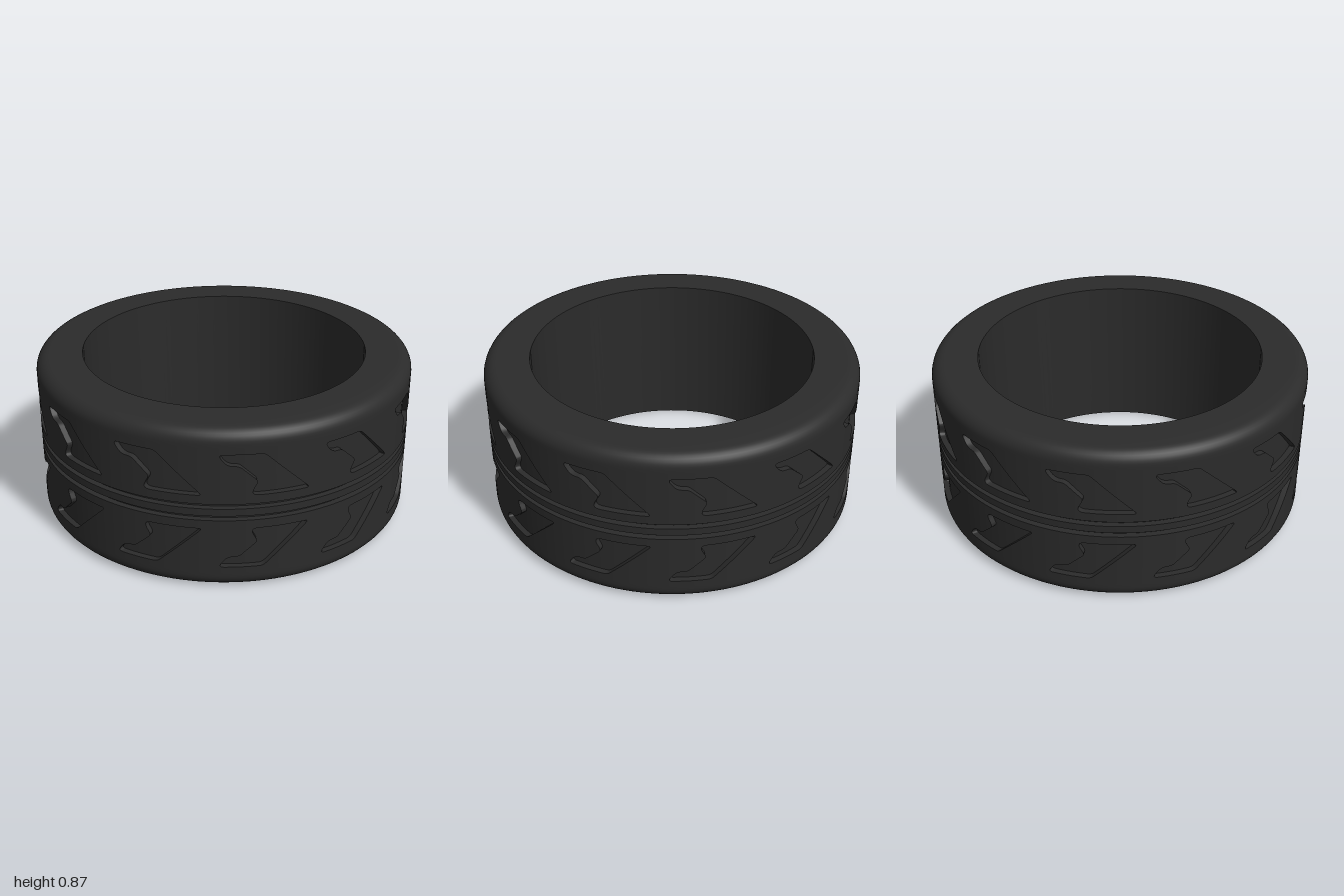
import * as THREE from 'three';
import { toCreasedNormals } from 'three/addons/utils/BufferGeometryUtils.js';

const H = 0.865, R = 1, FLOOR = 0.97, BORE = 0.755, CORNER = 0.07;
const SEGMENTS = 144, REPEATS = 12, STEP = (Math.PI * 2) / SEGMENTS;
const BAND = [0.485, 0.775]; // upper tread band; the lower one mirrors it

const rubber = new THREE.MeshStandardMaterial({ color: 0x2b2b2b });

// Hook-shaped tread pocket as [angle, height, corner radius]
const HOOK = [
  [-0.252, 0.742, 0.03], [-0.205, 0.682, 0.03], [-0.15, 0.682, 0.02], [-0.058, 0.598, 0.018],
  [-0.1, 0.524, 0.045], [0.2, 0.524, 0.022], [-0.03, 0.742, 0.02],
];

// Unrolled (angle, height) point onto a cylinder, front at angle 0
const wrap = (p, r) => [r * Math.sin(p.x), p.y, r * Math.cos(p.x)];

// Polygon with rounded corners, returned as points
function roundedOutline(corners) {
  const path = new THREE.Path();
  const n = corners.length;
  corners.forEach(([x, y, r], i) => {
    const c = new THREE.Vector2(x, y);
    const toward = (j) => {
      const q = new THREE.Vector2(corners[j][0], corners[j][1]);
      return c.clone().add(q.sub(c).setLength(r));
    };
    const a = toward((i + n - 1) % n), b = toward((i + 1) % n);
    if (i === 0) path.moveTo(a.x, a.y); else path.lineTo(a.x, a.y);
    path.quadraticCurveTo(x, y, b.x, b.y);
  });
  path.closePath();
  const pts = path.getPoints(5);
  if (pts[0].distanceTo(pts[pts.length - 1]) < 1e-6) pts.pop();
  return pts;
}

// Adds points wherever an outline crosses a segment line of the cylinder
function splitAtSegments(pts) {
  const out = [];
  pts.forEach((a, i) => {
    const b = pts[(i + 1) % pts.length];
    out.push(a);
    const ts = [];
    const lo = Math.ceil(Math.min(a.x, b.x) / STEP), hi = Math.floor(Math.max(a.x, b.x) / STEP);
    for (let k = lo; k <= hi; k++) {
      const t = (k * STEP - a.x) / (b.x - a.x);
      if (t > 1e-4 && t < 1 - 1e-4) ts.push(t);
    }
    ts.sort((s, t) => s - t).forEach((t) => out.push(a.clone().lerp(b, t)));
  });
  return out;
}

// Keeps the part of a polygon where side * (x - limit) >= 0
function clip(poly, limit, side) {
  const out = [];
  poly.forEach((a, i) => {
    const b = poly[(i + 1) % poly.length];
    const da = side * (a.x - limit), db = side * (b.x - limit);
    if (da >= 0) out.push(a);
    if (da * db < 0) out.push(a.clone().lerp(b, da / (da - db)));
  });
  return out;
}

// Flat shape sliced into segment-wide strips and bent to radius r
function bentSurface(shape, r) {
  const flat = new THREE.ShapeGeometry(shape).toNonIndexed().getAttribute('position');
  const pos = [], nor = [];
  for (let i = 0; i < flat.count; i += 3) {
    const tri = [0, 1, 2].map((j) => new THREE.Vector2(flat.getX(i + j), flat.getY(i + j)));
    const xs = tri.map((p) => p.x);
    const first = Math.floor(Math.min(...xs) / STEP + 1e-5);
    const last = Math.ceil(Math.max(...xs) / STEP - 1e-5);
    for (let k = first; k < last; k++) {
      const poly = clip(clip(tri, k * STEP, 1), (k + 1) * STEP, -1);
      for (let j = 2; j < poly.length; j++) {
        for (const p of [poly[0], poly[j - 1], poly[j]]) {
          pos.push(...wrap(p, r));
          nor.push(...wrap({ x: p.x, y: 0 }, 1));
        }
      }
    }
  }
  const g = new THREE.BufferGeometry();
  g.setAttribute('position', new THREE.Float32BufferAttribute(pos, 3));
  g.setAttribute('normal', new THREE.Float32BufferAttribute(nor, 3));
  return g;
}

// Side walls of a pocket, facing into it
function pocketWall(outline) {
  const pos = [];
  outline.forEach((a, i) => {
    const b = outline[(i + 1) % outline.length];
    const ao = wrap(a, R), bo = wrap(b, R), ai = wrap(a, FLOOR), bi = wrap(b, FLOOR);
    pos.push(...ao, ...bo, ...bi, ...ao, ...bi, ...ai);
  });
  const g = new THREE.BufferGeometry();
  g.setAttribute('position', new THREE.Float32BufferAttribute(pos, 3));
  return toCreasedNormals(g, 0.7);
}

function addMesh(parent, name, geometry) {
  const mesh = new THREE.Mesh(geometry, rubber);
  mesh.name = name;
  parent.add(mesh);
}

function lathe(points) {
  const profile = points.map(([x, y]) => new THREE.Vector2(x, y));
  return toCreasedNormals(new THREE.LatheGeometry(profile, SEGMENTS), 0.6);
}

export function createModel() {
  const tire = new THREE.Group();
  tire.name = 'tire';

  // Sidewalls, rounded shoulders and inner bore
  const shoulder = [];
  for (let i = 0; i <= 8; i++) {
    const a = (i / 8) * Math.PI / 2;
    shoulder.push([R - CORNER + CORNER * Math.cos(a), H - CORNER + CORNER * Math.sin(a)]);
  }
  const half = [[R, BAND[1]], ...shoulder, [BORE, H]];
  const lowerHalf = half.map(([x, y]) => [x, H - y]).reverse();
  addMesh(tire, 'sidewalls', lathe([...half, ...lowerHalf]));

  // Middle rib with a groove on each side
  const rib = [[R, 0.452], [FLOOR, 0.452], [FLOOR, 0.477], [R, 0.477], [R, BAND[0]]];
  const lowerRib = rib.map(([x, y]) => [x, H - y]).reverse();
  addMesh(tire, 'centerGrooves', lathe([...lowerRib, ...rib]));

  // Two mirrored tread bands of repeating pockets
  for (const upper of [true, false]) {
    const flip = (y) => (upper ? y : H - y);
    let outline = splitAtSegments(roundedOutline(HOOK.map(([x, y, r]) => [x, flip(y), r])));
    if (THREE.ShapeUtils.isClockWise(outline)) outline = outline.reverse();

    const [y0, y1] = BAND.map(flip), u0 = -7 * STEP, u1 = 5 * STEP;
    const cell = new THREE.Shape([[u0, y0], [u1, y0], [u1, y1], [u0, y1]]
      .map(([x, y]) => new THREE.Vector2(x, y)));
    cell.holes.push(new THREE.Path(outline));

    const surface = bentSurface(cell, R);
    const floor = bentSurface(new THREE.Shape(outline), FLOOR);
    const wall = pocketWall(outline);

    const band = new THREE.Group();
    band.name = upper ? 'upperTread' : 'lowerTread';
    for (let i = 0; i < REPEATS; i++) {
      const block = new THREE.Group();
      block.name = 'treadBlock';
      block.rotation.y = (i / REPEATS) * Math.PI * 2;
      addMesh(block, 'treadSurface', surface);
      addMesh(block, 'pocketFloor', floor);
      addMesh(block, 'pocketWall', wall);
      band.add(block);
    }
    tire.add(band);
  }
  return tire;
}
